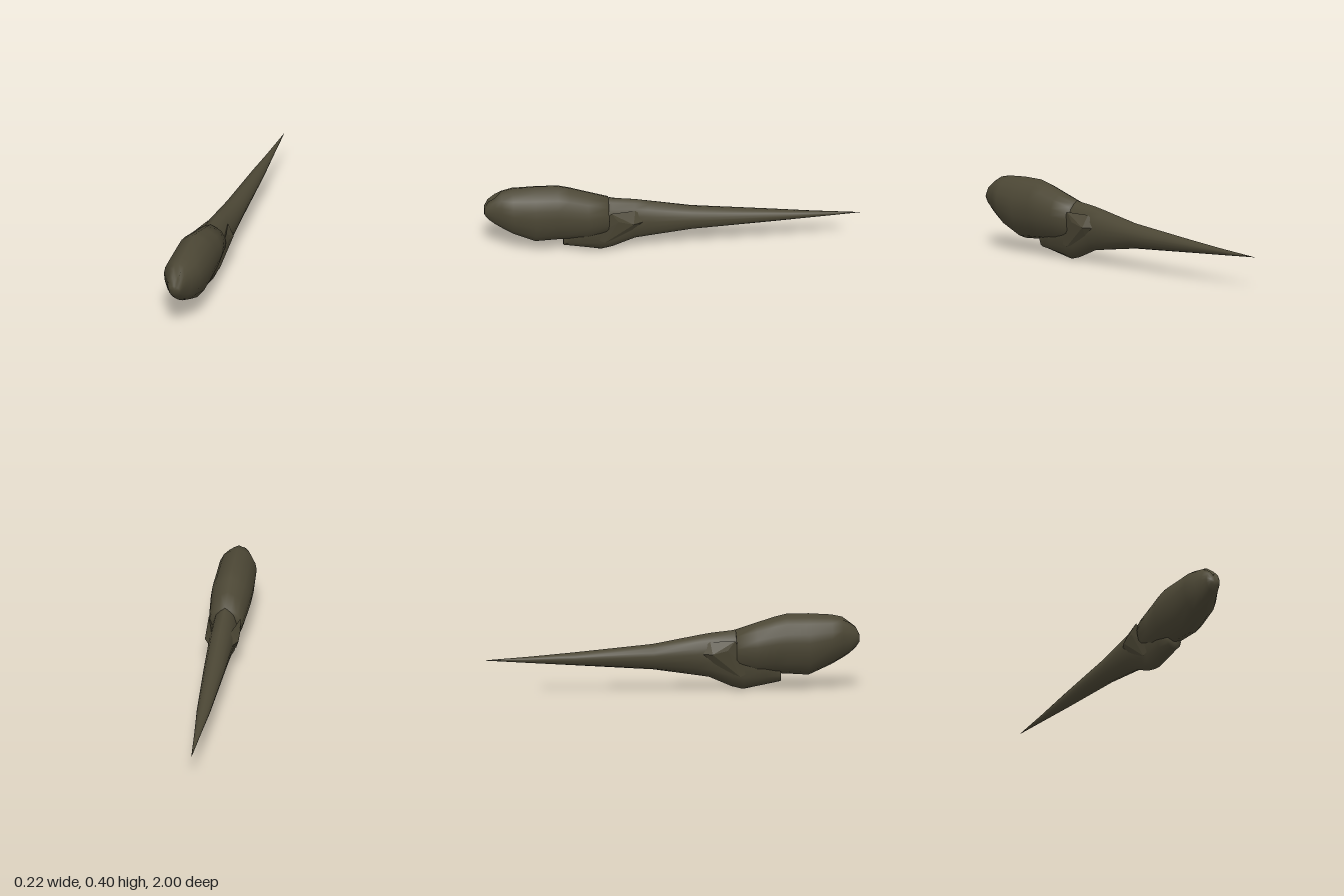
import * as THREE from 'three';
import { ConvexGeometry } from 'three/addons/geometries/ConvexGeometry.js';

// Half cross-section, from the top ridge to the keel: [share of half width, share of height]
const HALF = [[0, 1], [0.36, 0.94], [0.72, 0.855], [0.93, 0.69], [1, 0.55], [0.95, 0.39], [0.79, 0.2], [0.45, 0.06], [0, 0]];
const RING = [...HALF, ...HALF.slice(1, -1).reverse().map(([x, v]) => [-x, v])];

// Skins stations [z, bottom, top, half width, notch], ordered front to back
function loft(stations) {
  const n = RING.length, pos = [], index = [];
  for (const [z, bottom, top, w, notch = 0] of stations) {
    RING.forEach(([x, v], i) => pos.push(x * w, bottom + (top - bottom) * v - (i === 0 ? notch : 0), z));
  }
  for (let s = 0; s < stations.length - 1; s++) {
    for (let i = 0; i < n; i++) {
      const a = s * n + i, b = s * n + (i + 1) % n;
      index.push(a, a + n, b, b, a + n, b + n);
    }
  }
  // End caps
  [0, stations.length - 1].forEach((s, end) => {
    const [z, bottom, top] = stations[s], c = pos.length / 3;
    pos.push(0, (bottom + top) / 2, z);
    for (let i = 0; i < n; i++) {
      const a = s * n + i, b = s * n + (i + 1) % n;
      index.push(c, end ? b : a, end ? a : b);
    }
  });
  const g = new THREE.BufferGeometry();
  g.setAttribute('position', new THREE.Float32BufferAttribute(pos, 3));
  g.setIndex(index);
  g.computeVertexNormals();
  return g;
}

export function createModel() {
  const group = new THREE.Group();
  group.name = 'tadpole';
  const skin = new THREE.MeshStandardMaterial({ color: 0x4c4735, side: THREE.DoubleSide });
  skin.name = 'dark olive skin';
  const add = (name, geometry) => {
    const mesh = new THREE.Mesh(geometry, skin);
    mesh.name = name;
    group.add(mesh);
  };

  // Head with a small notch in the snout
  add('head', loft([
    [1.0, 0.245, 0.29, 0.03],
    [0.98, 0.215, 0.335, 0.042, 0.02],
    [0.945, 0.185, 0.365, 0.056, 0.045],
    [0.91, 0.162, 0.382, 0.072],
    [0.85, 0.128, 0.395, 0.102],
    [0.73, 0.074, 0.403, 0.106],
    [0.61, 0.082, 0.402, 0.108],
    [0.55, 0.085, 0.388, 0.105],
    [0.45, 0.085, 0.357, 0.097],
    [0.34, 0.11, 0.322, 0.087],
  ]));

  // Belly and long tapering tail
  add('bodyAndTail', loft([
    [0.58, 0.042, 0.13, 0.042],
    [0.5, 0.026, 0.25, 0.058],
    [0.38, 0.003, 0.33, 0.066],
    [0.32, 0.018, 0.318, 0.068],
    [0.2, 0.07, 0.305, 0.067],
    [0.13, 0.081, 0.293, 0.064],
    [-0.1, 0.115, 0.251, 0.056],
    [-0.52, 0.143, 0.212, 0.036],
    [-0.75, 0.158, 0.193, 0.018],
    [-1.0, 0.175, 0.176, 0.001],
  ]));

  // Faceted gill buds behind the head
  const bud = [[0.05, 0.1, 0.43], [0.058, 0.075, 0.36], [0.085, 0.27, 0.33], [0.09, 0.22, 0.29],
    [0.09, 0.2, 0.21], [0.055, 0.265, 0.2], [0.05, 0.13, 0.22], [0.045, 0.2, 0.12]];
  for (const side of [1, -1]) {
    add(side > 0 ? 'leftGillBud' : 'rightGillBud',
      new ConvexGeometry(bud.map(([x, y, z]) => new THREE.Vector3(side * x, y, z))));
  }
  return group;
}
